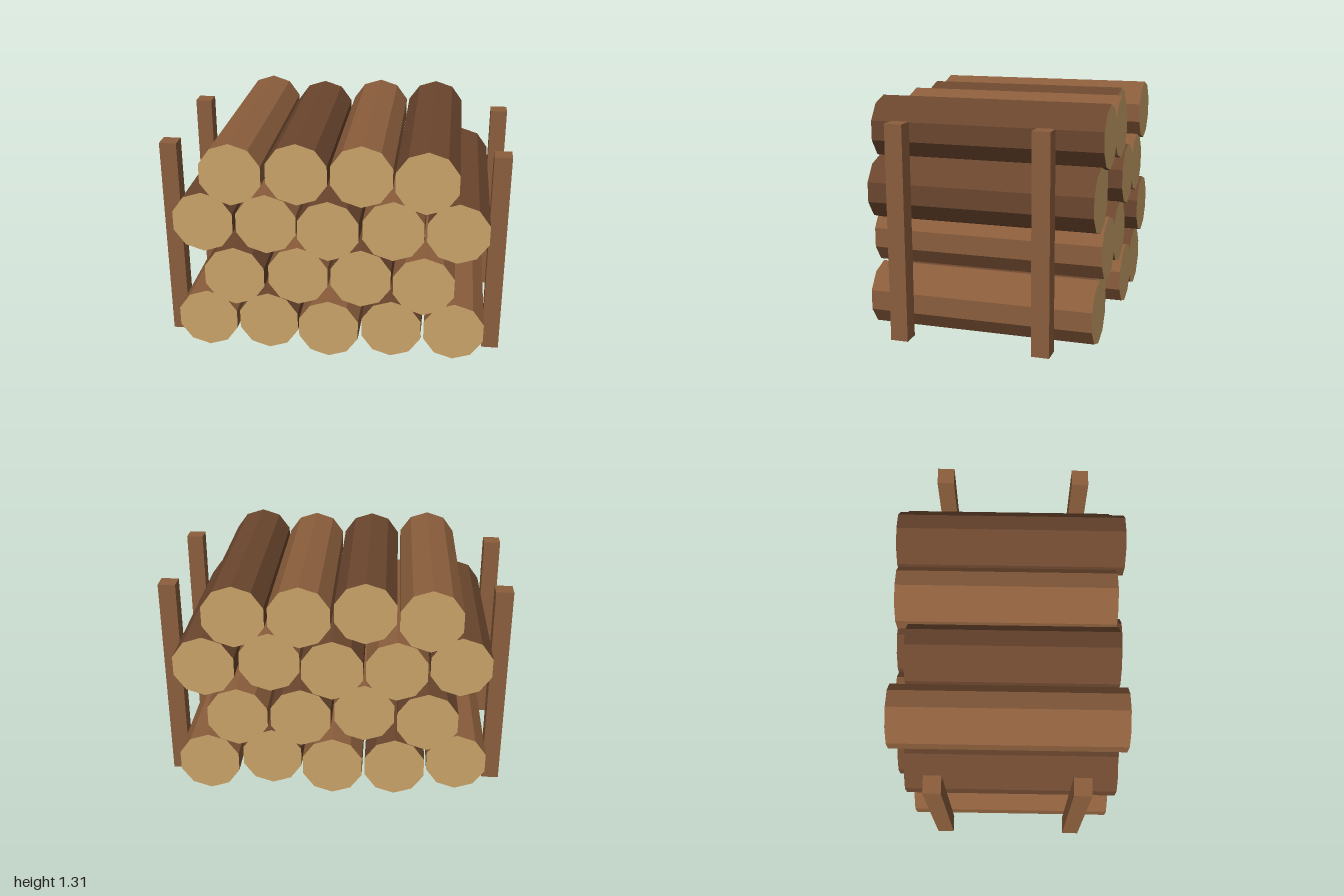
import * as THREE from 'three';

const flat = (name, color) => {
  const m = new THREE.MeshStandardMaterial({ color, flatShading: true });
  m.name = name;
  return m;
};

export function createModel() {
  const group = new THREE.Group();
  group.name = 'logStack';
  const lightBark = flat('light bark', 0x8b5e3c);
  const darkBark = flat('dark bark', 0x6b462e);
  const cutWood = flat('cut wood', 0xc9a268);

  // Three log lengths, given as [back z, front z], used in turn
  const spans = [[-0.592, 0.625], [-0.665, 0.615], [-0.675, 0.668]];
  const logGeometries = spans.map(([back, front]) =>
    new THREE.CylinderGeometry(0.182, 0.182, front - back, 10)
      .rotateX(Math.PI / 2)
      .translate(0, 0, (back + front) / 2));

  // Staggered rows of logs with alternating bark
  const pitch = 0.363;
  let index = 0;
  [5, 4, 5, 4].forEach((count, row) => {
    for (let i = 0; i < count; i++, index++) {
      const bark = index % 2 ? darkBark : lightBark;
      const log = new THREE.Mesh(logGeometries[index % 3], [bark, cutWood, cutWood]);
      log.name = `log${index + 1}`;
      log.position.set((i - (count - 1) / 2) * pitch, 0.187 + row * 0.3143, 0);
      group.add(log);
    }
  });

  // Four upright posts holding the stack
  const postGeometry = new THREE.BoxGeometry(0.1, 1.222, 0.1);
  for (const x of [-0.95, 0.95]) {
    for (const z of [-0.407, 0.407]) {
      const post = new THREE.Mesh(postGeometry, lightBark);
      post.name = `${z > 0 ? 'front' : 'back'}${x > 0 ? 'Left' : 'Right'}Post`;
      post.position.set(x, 0.611, z);
      group.add(post);
    }
  }
  return group;
}
